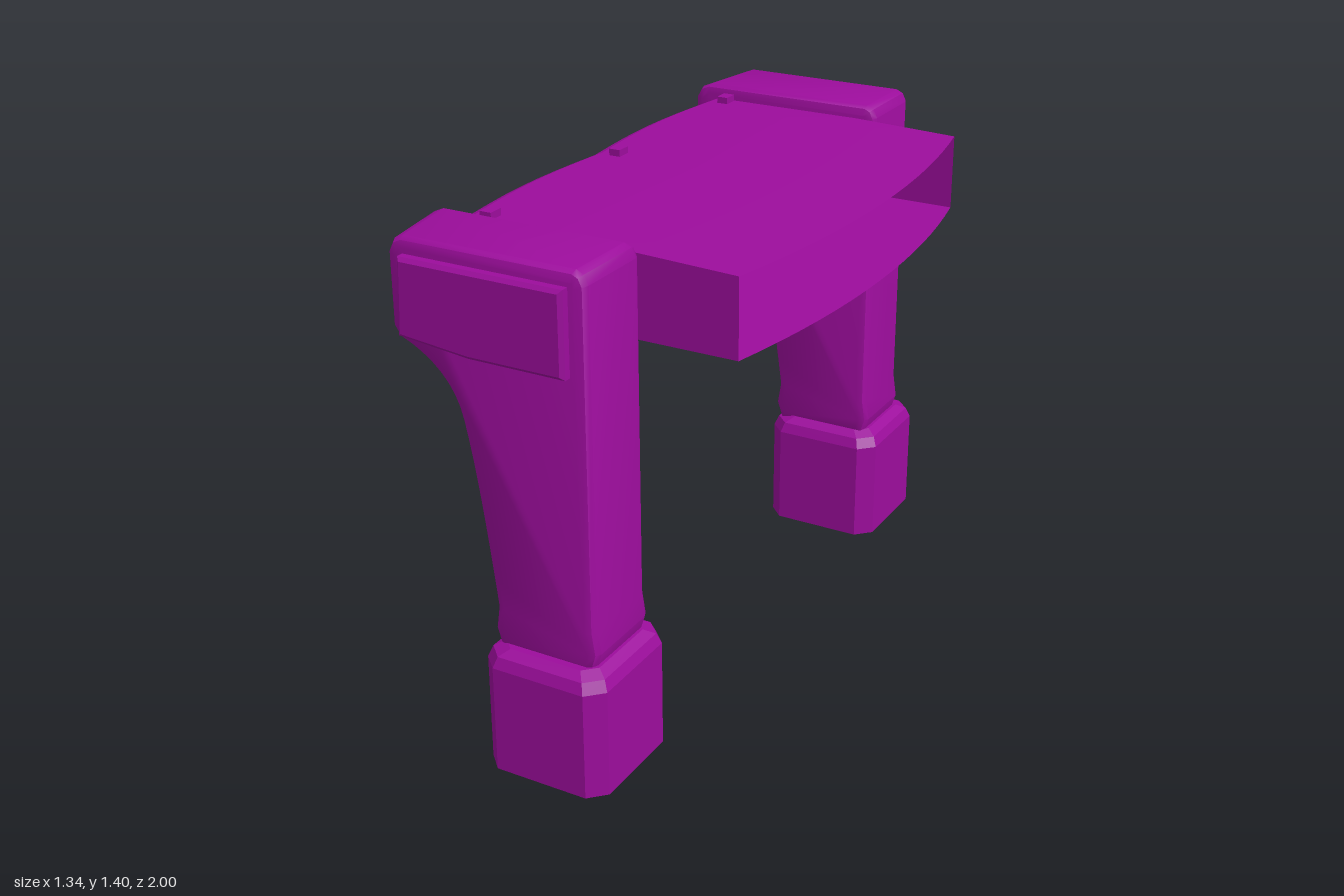
import * as THREE from 'three';
import { toCreasedNormals } from 'three/addons/utils/BufferGeometryUtils.js';

const material = new THREE.MeshStandardMaterial({ color: 0x9c0d9c, side: THREE.DoubleSide });

function mesh(name, geometry, crease = 0.5) {
  const m = new THREE.Mesh(toCreasedNormals(geometry, crease), material);
  m.name = name;
  return m;
}

// Joins equal-length rings of points; closed rings wrap round, caps are fans.
function loft(rings, { wrap = true, capStart = false, capEnd = false } = {}) {
  const n = rings[0].length;
  const index = [];
  for (let r = 0; r < rings.length - 1; r++) {
    for (let i = 0; i < (wrap ? n : n - 1); i++) {
      const a = r * n + i, b = r * n + (i + 1) % n;
      index.push(a, b, b + n, a, b + n, a + n);
    }
  }
  const last = (rings.length - 1) * n;
  for (let i = 1; i < n - 1; i++) {
    if (capStart) index.push(0, i + 1, i);
    if (capEnd) index.push(last, last + i, last + i + 1);
  }
  const g = new THREE.BufferGeometry();
  g.setAttribute('position', new THREE.Float32BufferAttribute(rings.flat(2), 3));
  g.setIndex(index);
  return g;
}

// Square with cut corners at height y
function cutSquare(h, k, y) {
  const j = h - k;
  return [[h, j], [j, h], [-j, h], [-h, j], [-h, -j], [-j, -h], [j, -h], [h, -j]]
    .reverse().map(([x, z]) => [x, y, z]);
}

function createPost() {
  const post = new THREE.Group();

  // Foot block, open underneath
  const foot = mesh('foot', loft([
    cutSquare(0.18, 0.045, 0), cutSquare(0.18, 0.045, 0.305),
    cutSquare(0.168, 0.042, 0.335), cutSquare(0.14, 0.035, 0.35),
  ], { capEnd: true }), 0.3);
  foot.position.set(0.065, 0, 0.808);
  post.add(foot);

  // Shaft flowing into the bracket head, one bevelled profile
  const shape = new THREE.Shape();
  shape.moveTo(-0.09, 0.33);
  shape.lineTo(0.19, 0.33);
  shape.lineTo(0.207, 0.385);
  shape.lineTo(0.197, 0.45);
  shape.lineTo(0.197, 1.365);
  shape.lineTo(0.185, 1.39);
  shape.lineTo(0.165, 1.4);
  shape.lineTo(-0.345, 1.4);
  shape.lineTo(-0.372, 1.388);
  shape.lineTo(-0.387, 1.36);
  shape.lineTo(-0.387, 1.165);
  shape.lineTo(-0.365, 1.135);
  shape.bezierCurveTo(-0.27, 1.1, -0.2, 1.04, -0.18, 0.95);
  shape.bezierCurveTo(-0.15, 0.83, -0.125, 0.66, -0.098, 0.45);
  shape.lineTo(-0.108, 0.385);
  const geometry = new THREE.ExtrudeGeometry(shape, {
    depth: 0.21, bevelThickness: 0.025, bevelSize: 0.025, bevelOffset: -0.025,
    bevelSegments: 2, curveSegments: 8,
  });
  geometry.translate(0, 0, 0.695);
  // The bracket is a little longer on its inner side
  const p = geometry.attributes.position;
  for (let i = 0; i < p.count; i++) {
    const x = p.getX(i);
    if (x < 0) p.setX(i, x * (1 - 0.06 * (p.getZ(i) - 0.8) / 0.13));
  }
  post.add(mesh('shaftAndHead', geometry));

  // Raised panel on the outer face of the head
  const panel = new THREE.Shape();
  panel.moveTo(-0.325, 1.155);
  panel.lineTo(-0.12, 1.135);
  panel.lineTo(0.155, 1.135);
  panel.lineTo(0.155, 1.362);
  panel.lineTo(-0.315, 1.362);
  const panelGeometry = new THREE.ExtrudeGeometry(panel, {
    depth: 0.035, bevelThickness: 0.01, bevelSize: 0.01, bevelOffset: -0.01, bevelSegments: 1,
  });
  panelGeometry.translate(0, 0, 0.915);
  post.add(mesh('headPanel', panelGeometry, 0.3));
  return post;
}

// Hollow beam: wavy on the short side, bowed and open on the overhanging side
function createBeam() {
  const end = 0.66, steps = 16;
  const rings = [];
  for (let s = 0; s <= steps; s++) {
    const t = -1 + 2 * s / steps, z = t * end;
    const bow = 1 - t * t;
    const wave = Math.sin(Math.PI * Math.abs(t));
    const inner = -0.355 - 0.008 * bow - 0.022 * wave;
    const crease = 0.145 + 0.085 * bow;
    const outer = 0.457 + 0.07 * bow;
    rings.push([
      [outer, 1.355, z], [crease, 1.366, z], [inner + 0.035, 1.366, z],
      [inner + 0.01, 1.355, z], [inner, 1.33, z], [inner, 1.16, z],
      [inner + 0.02, 1.14, z], [outer, 1.14, z],
    ]);
  }
  return mesh('beam', loft(rings, { wrap: false, capStart: true, capEnd: true }), 0.35);
}

export function createModel() {
  const bench = new THREE.Group();
  bench.name = 'bench';
  bench.position.set(-0.003, 0, 0.007);
  bench.rotation.y = -THREE.MathUtils.degToRad(21.5);

  for (const [name, side] of [['frontPost', 1], ['backPost', -1]]) {
    const post = createPost();
    post.name = name;
    post.scale.z = side;
    bench.add(post);
  }
  bench.add(createBeam());

  // Small studs along the wavy edge
  for (const z of [-0.635, -0.01, 0.61]) {
    const stud = mesh('stud', new THREE.BoxGeometry(0.034, 0.03, 0.045));
    stud.position.set(-0.281, 1.37, z);
    bench.add(stud);
  }

  const model = new THREE.Group();
  model.add(bench);
  return model;
}
